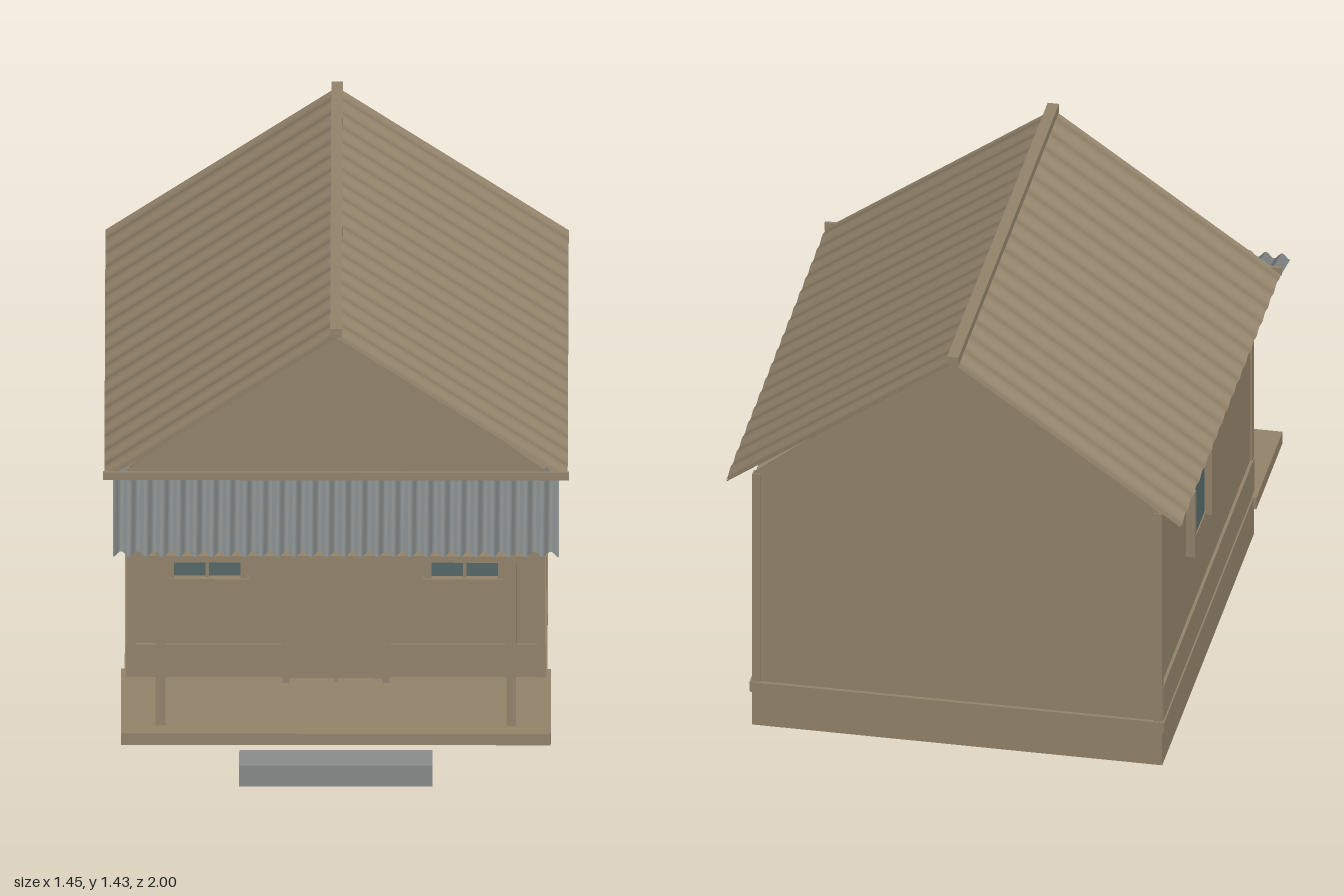
import * as THREE from 'three';

const material = (name, color, side = THREE.FrontSide) => {
  const m = new THREE.MeshStandardMaterial({ color, side });
  m.name = name;
  return m;
};

export function createModel() {
  const house = new THREE.Group();
  house.name = 'house';
  const wood = material('wood', 0x94846c);
  const roofWood = material('roof wood', 0x94846c, THREE.DoubleSide);
  const metal = material('awning metal', 0x808685, THREE.DoubleSide);
  const stone = material('step stone', 0x8a8d8b);
  const glass = material('window glass', 0x566a6b);

  const add = (name, geometry, mat) => {
    const mesh = new THREE.Mesh(geometry, mat);
    mesh.name = name;
    house.add(mesh);
    return mesh;
  };
  // Box given by its limits on each axis
  const box = (name, [x0, x1], [y0, y1], [z0, z1], mat = wood) => {
    const g = new THREE.BoxGeometry(x1 - x0, y1 - y0, z1 - z0);
    g.translate((x0 + x1) / 2, (y0 + y1) / 2, (z0 + z1) / 2);
    return add(name, g, mat);
  };
  // The same box on both sides of x = 0
  const pair = (name, [x0, x1], y, z, mat) => {
    box(name + 'Left', [x0, x1], y, z, mat);
    box(name + 'Right', [-x1, -x0], y, z, mat);
  };
  // Wavy sheet: place(u, v) gives a point for u, v in 0..1
  const sheet = (name, nu, nv, place, mat) => {
    const g = new THREE.PlaneGeometry(1, 1, nu, nv);
    const p = g.attributes.position;
    for (let i = 0; i < p.count; i++) {
      p.setXYZ(i, ...place(p.getX(i) + 0.5, p.getY(i) + 0.5));
    }
    g.computeVertexNormals();
    return add(name, g, mat);
  };

  // Base, floor trim, walls and porch
  box('foundation', [-0.65, 0.65], [0, 0.12], [-0.925, 0.54]);
  box('floorTrim', [-0.657, 0.657], [0.12, 0.155], [-0.93, 0.5]);
  box('porchFloor', [-0.668, 0.668], [0.12, 0.16], [0.485, 0.905]);
  box('walls', [-0.642, 0.642], [0.15, 0.9], [-0.918, 0.53]);
  box('wainscot', [-0.652, 0.652], [0.15, 0.275], [-0.915, 0.537]);
  box('step', [-0.3, 0.3], [0.025, 0.1], [0.9, 1], stone);
  for (const z of [[-0.925, -0.9], [0.515, 0.54]]) {
    pair('cornerPost', [0.624, 0.649], [0.155, 0.9], z);
  }
  box('upperWallPanel', [-0.625, 0.625], [0.52, 0.74], [0.525, 0.535]);

  // Gable triangles
  for (const [name, z] of [['frontGable', 0.525], ['backGable', -0.92]]) {
    const s = new THREE.Shape();
    s.moveTo(-0.643, 0.9);
    s.lineTo(0.643, 0.9);
    s.lineTo(0, 1.41);
    const g = new THREE.ExtrudeGeometry(s, { depth: 0.015, bevelEnabled: false });
    add(name, g.translate(0, 0, z), wood);
  }

  // Corrugated main roof, two layers a little apart on each slope
  const roofPoint = (side, drop) => (u, v) => {
    const z = -0.99 + 1.6 * u;
    const wave = 0.005 * Math.cos((z * 2 * Math.PI) / 0.0914);
    return [side * 0.72 * v, 1.412 - 0.506 * v + wave - drop, z];
  };
  for (const side of [-1, 1]) {
    const label = side > 0 ? 'Left' : 'Right';
    sheet('roof' + label, 140, 1, roofPoint(side, 0), roofWood);
    sheet('roofUnderside' + label, 140, 1, roofPoint(side, 0.008), roofWood);
  }
  box('ridgeCap', [-0.018, 0.018], [1.402, 1.432], [-0.995, 0.61]);
  box('eaveBeam', [-0.724, 0.724], [0.898, 0.925], [0.603, 0.613]);

  // Corrugated porch awning
  sheet('awning', 27 * 10, 1, (u, v) => {
    const x = -0.693 + 1.386 * u;
    const wave = 0.01 * Math.cos((x * 2 * Math.PI * 27) / 1.386);
    return [x, 0.793 + 0.092 * v + wave, 0.9 - 0.455 * v];
  }, metal);

  // Porch posts and beam, with strips and battens on the wall behind
  pair('porchPost', [0.53, 0.56], [0.16, 0.775], [0.825, 0.853]);
  box('porchBeam', [-0.6, 0.6], [0.74, 0.763], [0.825, 0.857]);
  box('wallBeam', [-0.6, 0.6], [0.74, 0.785], [0.53, 0.555]);
  pair('wallStrip', [0.535, 0.56], [0.16, 0.83], [0.53, 0.547]);
  for (const y of [0.26, 0.35, 0.44]) {
    pair('wallBatten', [0.537, 0.552], [y, y + 0.07], [0.54, 0.56]);
  }

  // Double door
  box('door', [-0.145, 0.145], [0.16, 0.735], [0.53, 0.545]);
  box('doorCentreStrip', [-0.006, 0.006], [0.16, 0.735], [0.54, 0.57]);
  pair('doorFrame', [0.143, 0.166], [0.16, 0.738], [0.53, 0.575]);

  // Front windows
  pair('frontGlass', [0.295, 0.505], [0.52, 0.737], [0.533, 0.541], glass);
  pair('frontMullion', [0.395, 0.405], [0.52, 0.737], [0.53, 0.552]);
  pair('frontWindowInnerFrame', [0.275, 0.297], [0.51, 0.738], [0.53, 0.56]);
  pair('frontWindowOuterFrame', [0.503, 0.525], [0.51, 0.738], [0.53, 0.56]);
  pair('frontSill', [0.272, 0.52], [0.5, 0.521], [0.53, 0.565]);

  // Side windows
  pair('sideGlass', [0.64, 0.648], [0.52, 0.733], [-0.49, -0.235], glass);
  for (const z of [[-0.505, -0.488], [-0.237, -0.22]]) {
    pair('sideWindowFrame', [0.64, 0.671], [0.51, 0.743], z);
  }
  for (const y of [[0.514, 0.522], [0.731, 0.738]]) {
    pair('sideWindowRail', [0.64, 0.652], y, [-0.49, -0.235]);
  }
  return house;
}
